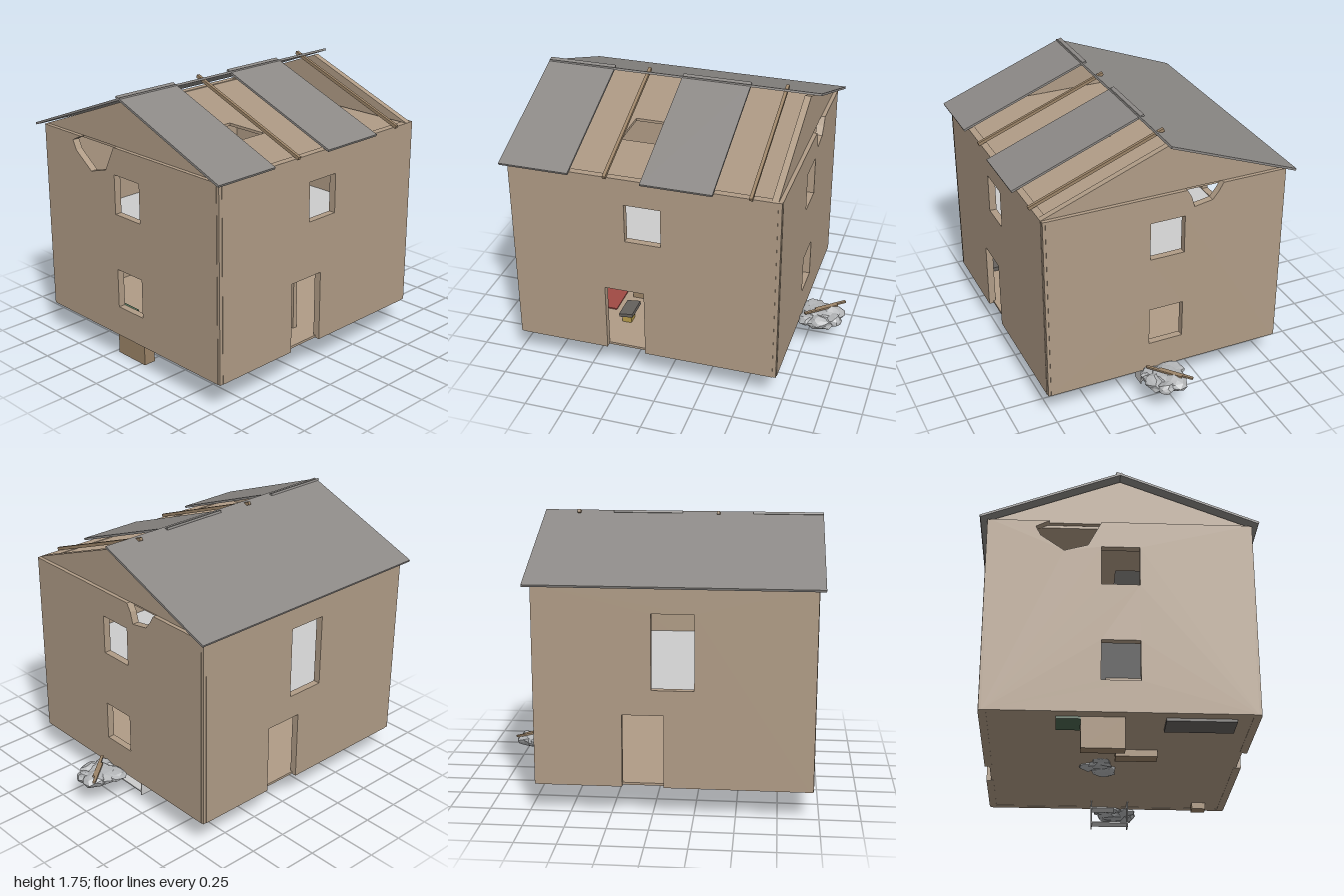
import * as THREE from 'three';

const mat = (color, flat = false) =>
  new THREE.MeshStandardMaterial({ color, flatShading: flat, side: THREE.DoubleSide });

export function createModel() {
  const house = new THREE.Group();
  house.name = 'ruinedHouse';
  const wallMat = mat(0xb09c86), roofMat = mat(0x8c8986), woodMat = mat(0x9c8468);
  const greyMat = mat(0xcccccc), rockMat = mat(0xb4b6b8, true), darkMat = mat(0x66625e);
  const greenMat = mat(0x4c6650), redMat = mat(0xa04a44), goldMat = mat(0xb59a4a);

  const add = (name, geometry, material, parent = house) => {
    const mesh = new THREE.Mesh(geometry, material);
    mesh.name = name;
    parent.add(mesh);
    return mesh;
  };
  // box from opposite limits
  const box = (name, [x0, x1], [y0, y1], [z0, z1], material) => {
    const mesh = add(name, new THREE.BoxGeometry(x1 - x0, y1 - y0, z1 - z0), material);
    mesh.position.set((x0 + x1) / 2, (y0 + y1) / 2, (z0 + z1) / 2);
    return mesh;
  };
  const polygon = (points) => new THREE.Shape(points.map(([x, y]) => new THREE.Vector2(x, y)));
  const panel = (outline, openings, depth) => {
    const shape = polygon(outline);
    for (const [a, b, c, d] of openings) shape.holes.push(polygon([[a, c], [a, d], [b, d], [b, c]]));
    return new THREE.ExtrudeGeometry(shape, { depth, bevelEnabled: false });
  };

  // front and back walls
  const base = 0.185, top = 1.41, thick = 0.045;
  const frontOutline = [
    [-0.94, base], [-0.375, base], [-0.375, 0.635], [-0.125, 0.635], [-0.125, base],
    [0.69, base], [0.69, top], [-0.94, top],
  ];
  const backOutline = [
    [-0.94, base], [-0.07, base], [-0.07, 0.635], [0.18, 0.635], [0.18, base],
    [0.69, base], [0.69, top], [-0.94, top],
  ];
  add('frontWall', panel(frontOutline, [[-0.235, -0.01, 0.99, 1.24]], thick), wallMat).position.z = 0.79 - thick;
  add('backWall', panel(backOutline, [[-0.25, 0.005, 0.79, 1.25]], thick), wallMat).position.z = -0.79;

  // end walls with broken notches under the gables
  const notches = {
    left: [[-0.12, top], [-0.15, 1.36], [-0.17, 1.29], [-0.2, 1.295], [-0.29, 1.31], [-0.33, 1.36], [-0.36, top]],
    right: [[-0.11, top], [-0.125, 1.38], [-0.19, 1.25], [-0.33, 1.21], [-0.47, 1.31], [-0.5, 1.37], [-0.42, top]],
  };
  for (const [side, outerX, gableX] of [['left', 0.715, 0.69], ['right', -0.965 + thick, -0.9]]) {
    const outline = [[-0.77, base], [0.77, base], [0.77, top], ...notches[side], [-0.77, top]];
    const windows = [[-0.11, 0.115, 0.99, 1.24], [-0.11, 0.115, 0.38, 0.63]];
    const wall = panel(outline, windows, thick).rotateY(-Math.PI / 2);
    add(side + 'Wall', wall, wallMat).position.x = outerX;
    const gable = panel([[-0.79, top], [0.79, top], [0, 1.712]], [], 0.04).rotateY(-Math.PI / 2);
    add(side + 'Gable', gable, wallMat).position.x = gableX;
  }

  // corner posts
  for (const x of [-0.948, 0.698])
    for (const z of [-0.773, 0.773])
      box('cornerPost', [x - 0.014, x + 0.014], [base, top], [z - 0.014, z + 0.014], wallMat);

  // roof pieces lie along a slope; s = 1 is the front, s = -1 the back
  const pitch = 0.385, ridge = 1.737;
  const slopePiece = (name, x0, x1, d0, d1, s, height, drop, material) => {
    const length = (d1 - d0) * Math.hypot(1, pitch), d = (d0 + d1) / 2;
    const mesh = add(name, new THREE.BoxGeometry(x1 - x0, height, length), material);
    mesh.position.set((x0 + x1) / 2, ridge - drop - height / 2 - pitch * d, s * d);
    mesh.rotation.x = s * Math.atan(pitch);
  };
  slopePiece('backRoof', -1, 0.755, -0.012, 0.83, -1, 0.014, 0, roofMat);
  for (const x of [-1, -0.12]) slopePiece('frontRoofPanel', x, x + 0.436, -0.025, 0.825, 1, 0.014, 0, roofMat);
  for (const x of [-0.345, 0.535]) slopePiece('rafter', x - 0.01, x + 0.01, -0.045, 0.805, 1, 0.02, 0.003, woodMat);

  // floors and ceiling
  box('groundFloor', [-0.93, 0.68], [0.187, 0.202], [-0.76, 0.76], wallMat);
  box('upperFloor', [-0.92, 0.67], [0.765, 0.785], [-0.745, 0.745], greyMat);
  const ceiling = panel([[-0.92, -0.745], [0.67, -0.745], [0.67, 0.745], [-0.92, 0.745]],
    [[-0.43, -0.12, 0, 0.3]], 0.018).rotateX(Math.PI / 2);
  add('ceiling', ceiling, wallMat).position.y = 1.405;

  // ground floor partition and furnishings
  box('partition', [-0.155, -0.125], [0.2, 0.765], [-0.05, 0.6], wallMat);
  box('rug', [-0.75, -0.45], [0.202, 0.21], [0.1, 0.42], redMat);
  box('stool', [-0.37, -0.31], [0.202, 0.265], [0.46, 0.53], goldMat);
  box('brokenBoard', [-0.38, -0.29], [0.262, 0.285], [0.4, 0.56], darkMat).rotation.z = 0.12;

  // furniture fallen through the floor
  box('sunkenChest', [-0.395, -0.305], [0.145, 0.24], [0, 0.25], woodMat);
  box('sunkenBlock', [0.555, 0.635], [0.145, 0.22], [0.56, 0.65], woodMat);
  box('sunkenBed', [-0.89, -0.72], [0.17, 0.23], [0.26, 0.66], darkMat);
  box('sunkenCrate', [-0.89, -0.72], [0.172, 0.24], [-0.36, -0.22], greenMat);

  // open cabinet under the right side
  box('cabinetSide', [-0.89, -0.882], [0, 0.19], [-0.22, 0.03], woodMat);
  box('cabinetBottom', [-0.89, -0.81], [0, 0.01], [-0.22, 0.03], woodMat);
  for (const z of [-0.22, 0.02]) box('cabinetEnd', [-0.89, -0.81], [0, 0.19], [z, z + 0.01], woodMat);

  // thin shelf frame under the left side
  for (const z of [-0.112, 0.126]) box('shelfEnd', [0.55, 0.64], [0.015, 0.19], [z, z + 0.006], greyMat);
  box('shelfBoard', [0.55, 0.64], [0.036, 0.044], [-0.11, 0.13], greyMat);
  box('shelfBoard', [0.55, 0.64], [0.135, 0.143], [-0.11, 0.04], greyMat);

  // rubble: jagged flattened stones from a seeded sequence
  let seed = 7;
  const random = () => (seed = (seed * 16807) % 2147483647) / 2147483647;
  const stone = (parent, x, y, z, rx, ry, rz) => {
    const geometry = new THREE.IcosahedronGeometry(1, 1);
    const p = geometry.attributes.position, moved = new Map();
    for (let i = 0; i < p.count; i++) {
      const key = [p.getX(i), p.getY(i), p.getZ(i)].map((v) => Math.round(v * 100)).join();
      if (!moved.has(key)) moved.set(key, 0.72 + 0.36 * random());
      const k = moved.get(key);
      p.setXYZ(i, p.getX(i) * k, p.getY(i) * k, p.getZ(i) * k);
    }
    geometry.scale(rx, ry, rz);
    geometry.computeVertexNormals();
    add('stone', geometry, rockMat, parent).position.set(x, y, z);
  };
  const outside = new THREE.Group();
  outside.name = 'outsideRubble';
  house.add(outside);
  for (const s of [
    [0.82, 0.185, 0.05, 0.12, 0.045, 0.12], [0.9, 0.19, 0.03, 0.09, 0.05, 0.09],
    [0.84, 0.18, 0.14, 0.09, 0.05, 0.075], [0.76, 0.185, 0.12, 0.07, 0.035, 0.07],
    [0.78, 0.19, -0.02, 0.08, 0.03, 0.08], [0.71, 0.175, 0.03, 0.06, 0.02, 0.08],
    [0.93, 0.185, 0.09, 0.055, 0.04, 0.06],
  ]) stone(outside, ...s);
  const inside = new THREE.Group();
  inside.name = 'insideRubble';
  house.add(inside);
  for (const s of [
    [-0.15, 0.185, -0.08, 0.09, 0.03, 0.08], [-0.05, 0.18, -0.05, 0.08, 0.03, 0.08],
    [-0.1, 0.19, -0.15, 0.08, 0.03, 0.06],
  ]) stone(inside, ...s);

  // broken laths across the outside rubble
  for (const [x, z, length] of [[0.84, 0.07, 0.24], [0.89, 0.01, 0.22]]) {
    const lath = add('brokenLath', new THREE.BoxGeometry(length, 0.012, 0.018), woodMat);
    lath.position.set(x, 0.236, z);
    lath.rotation.y = 0.7;
  }
  return house;
}
